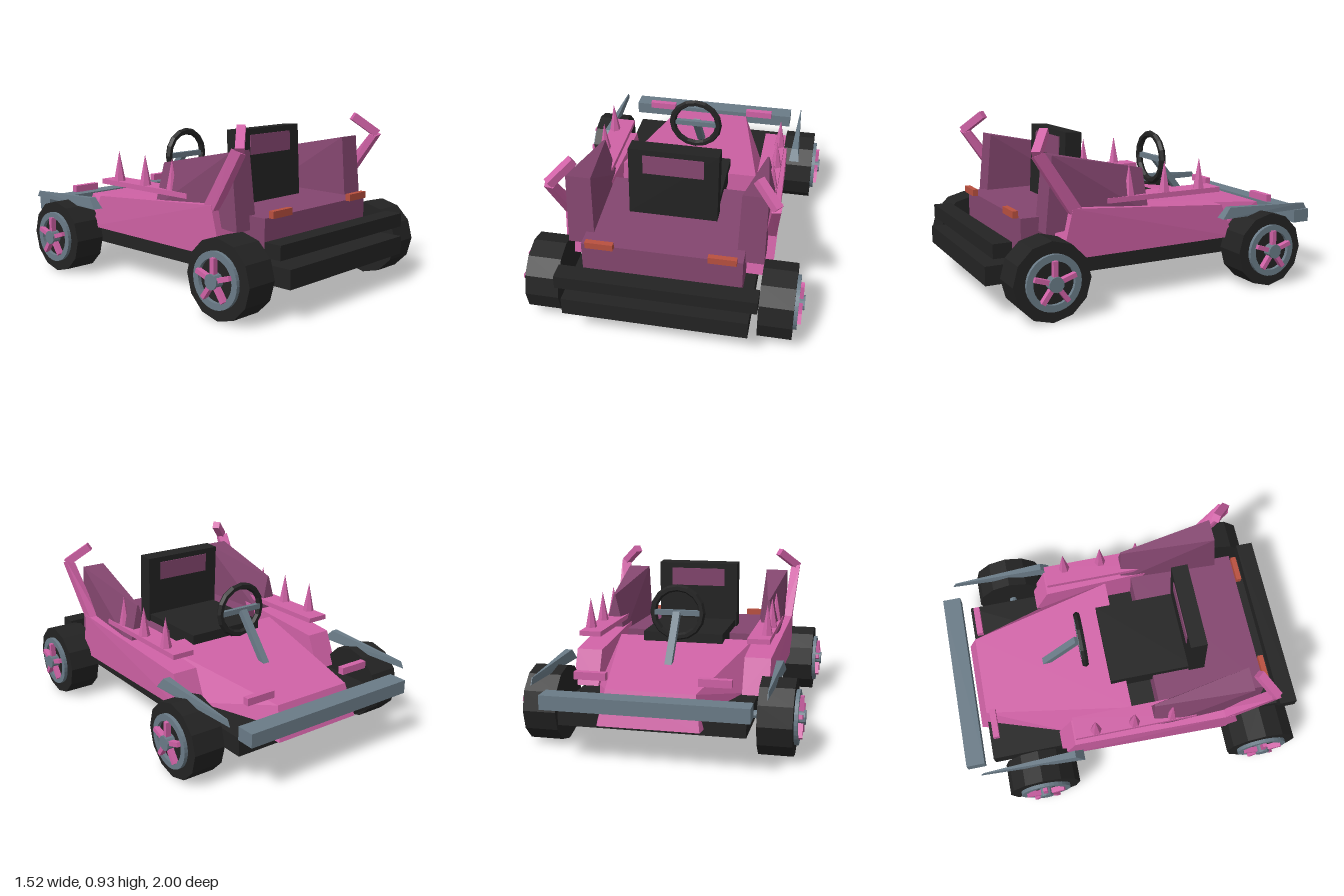
import * as THREE from 'three';
import { ConvexGeometry } from 'three/addons/geometries/ConvexGeometry.js';

const mat = (name, color) => new THREE.MeshStandardMaterial({ name, color, flatShading: true });

export function createModel() {
  const pink = mat('pink', 0xd062a6);
  const purple = mat('plum', 0x84466f);
  const black = mat('black', 0x232323);
  const slate = mat('slate', 0x6a7b87);
  const red = mat('red', 0xb9503f);
  const model = new THREE.Group();
  model.name = 'buggy';

  const add = (name, geo, material, parent = model) => {
    const m = new THREE.Mesh(geo, material);
    m.name = name;
    parent.add(m);
    return m;
  };
  // box given by its minimum and maximum on each axis
  const box = (name, material, [x0, x1], [y0, y1], [z0, z1], parent) => {
    const m = add(name, new THREE.BoxGeometry(x1 - x0, y1 - y0, z1 - z0), material, parent);
    m.position.set((x0 + x1) / 2, (y0 + y1) / 2, (z0 + z1) / 2);
    return m;
  };
  // convex solid through corner points, mirrored when s is -1
  const hull = (name, material, pts, s = 1) =>
    add(name, new ConvexGeometry(pts.map(([x, y, z]) => new THREE.Vector3(x * s, y, z))), material);
  // square bar between two points
  const bar = (name, material, a, b, w, d) => {
    const p = new THREE.Vector3(...a), q = new THREE.Vector3(...b);
    const m = add(name, new THREE.BoxGeometry(w, d, p.distanceTo(q)), material);
    m.position.copy(p).add(q).multiplyScalar(0.5);
    m.lookAt(q);
    return m;
  };

  // chassis, bumpers and lights
  box('chassis', black, [-0.49, 0.49], [0.165, 0.265], [-0.85, 1]);
  box('blackBumper', black, [-0.53, 0.53], [0.31, 0.385], [0.87, 0.97]);
  box('slateBumper', slate, [-0.53, 0.53], [0.29, 0.365], [-1, -0.895]);
  box('tub', purple, [-0.43, 0.43], [0.265, 0.472], [0.16, 0.785]);

  // nose: tapering wedge
  const nose = [];
  for (const s of [-1, 1]) {
    nose.push([s * 0.40, 0.47, 0], [s * 0.235, 0.37, -0.84],
      [s * 0.41, 0.265, 0], [s * 0.41, 0.265, -0.4], [s * 0.265, 0.19, -0.895], [s * 0.265, 0.19, -0.84]);
  }
  hull('nose', pink, nose);

  // seat
  box('seatCushion', black, [-0.235, 0.235], [0.4, 0.515], [-0.09, 0.4]);
  const back = new THREE.Group();
  back.name = 'seatBack';
  back.position.set(0, 0.67, 0.41);
  back.rotation.x = -0.05;
  model.add(back);
  box('backrest', black, [-0.245, 0.245], [-0.2, 0.2], [-0.047, 0.047], back);
  for (const z of [-0.049, 0.049])
    box('backrestPanel', purple, [-0.166, 0.166], [0.06, 0.168], [z - 0.003, z + 0.003], back);

  // steering
  bar('steeringColumn', slate, [0, 0.4, -0.45], [0, 0.66, -0.24], 0.04, 0.035);
  const wheel = add('steeringWheel', new THREE.TorusGeometry(0.14, 0.02, 6, 16), black);
  wheel.position.set(0, 0.66, -0.217);
  box('steeringSpoke', slate, [-0.13, 0.13], [0.645, 0.675], [-0.235, -0.21]);

  // parts repeated on each side
  for (const s of [-1, 1]) {
    const span = (a, b) => (s > 0 ? [a, b] : [-b, -a]);

    hull('sidePod', pink, [
      [0.405, 0.53, 0.56], [0.58, 0.53, 0.56], [0.405, 0.265, 0.62], [0.57, 0.265, 0.62],
      [0.405, 0.455, -0.36], [0.55, 0.455, -0.36], [0.405, 0.265, -0.44], [0.55, 0.265, -0.44],
    ], s);
    box('spikeRail', pink, span(0.415, 0.54), [0.528, 0.556], [-0.35, 0.345]);
    for (const z of [0.205, -0.01, -0.23]) {
      const spike = add('spike', new THREE.ConeGeometry(0.033, 0.17, 6), pink);
      spike.position.set(s * 0.51, 0.64, z);
    }

    // rear fin widening backwards
    hull('fin', purple, [
      [0.47, 0.69, 0.11], [0.48, 0.69, 0.11], [0.41, 0.45, 0.1], [0.54, 0.45, 0.1],
      [0.395, 0.8, 0.65], [0.53, 0.8, 0.65], [0.385, 0.4, 0.69], [0.53, 0.4, 0.69],
    ], s);
    // bent horn on a slanted strut
    hull('hornStrut', pink, [
      [0.545, 0.81, 0.73], [0.605, 0.83, 0.72], [0.555, 0.8, 0.77], [0.6, 0.81, 0.775],
      [0.52, 0.5, 0.49], [0.575, 0.5, 0.49], [0.52, 0.5, 0.57], [0.575, 0.5, 0.57],
    ], s);
    bar('horn', pink, [s * 0.585, 0.815, 0.755], [s * 0.475, 0.915, 0.665], 0.045, 0.045);

    // pointed guard above the steering wheels
    hull('fender', slate, [
      [0.57, 0.39, -0.32], [0.63, 0.39, -0.32], [0.58, 0.45, -0.37], [0.62, 0.45, -0.37],
      [0.598, 0.425, -0.9], [0.602, 0.425, -0.9], [0.598, 0.39, -0.92], [0.602, 0.39, -0.92],
    ], s);
    box('noseLamp', pink, span(0.24, 0.41), [0.405, 0.445], [-0.815, -0.78]);
    box('tailLight', red, span(0.25, 0.4), [0.47, 0.507], [0.785, 0.815]);

    // wheels
    for (const z of [0.73, -0.58]) {
      const g = new THREE.Group();
      g.name = 'roadWheel';
      g.position.set(s * 0.62, 0.207, z);
      g.rotation.y = s * Math.PI / 2; // local +z points outwards
      model.add(g);
      const disc = (name, m, r, depth, at, sides) => {
        const c = add(name, new THREE.CylinderGeometry(r, r, depth, sides), m, g);
        c.rotation.x = Math.PI / 2;
        c.position.z = at;
      };
      disc('tire', black, 0.207, 0.18, 0, 12);
      disc('axle', slate, 0.022, 0.16, -0.1, 8);
      const shape = new THREE.Shape().absarc(0, 0, 0.145, 0, Math.PI * 2);
      shape.holes.push(new THREE.Path().absarc(0, 0, 0.11, 0, Math.PI * 2, true));
      const rim = add('rim', new THREE.ExtrudeGeometry(shape,
        { depth: 0.022, bevelEnabled: false, curveSegments: 16 }), slate, g);
      rim.position.z = 0.088;
      for (let i = 0; i < 5; i++) {
        const a = Math.PI / 2 + i * Math.PI * 2 / 5;
        const spoke = add('spoke', new THREE.BoxGeometry(0.08, 0.024, 0.03), pink, g);
        spoke.position.set(Math.cos(a) * 0.075, Math.sin(a) * 0.075, 0.115);
        spoke.rotation.z = a;
      }
      disc('hub', slate, 0.04, 0.05, 0.115, 10);
    }
  }
  return model;
}
